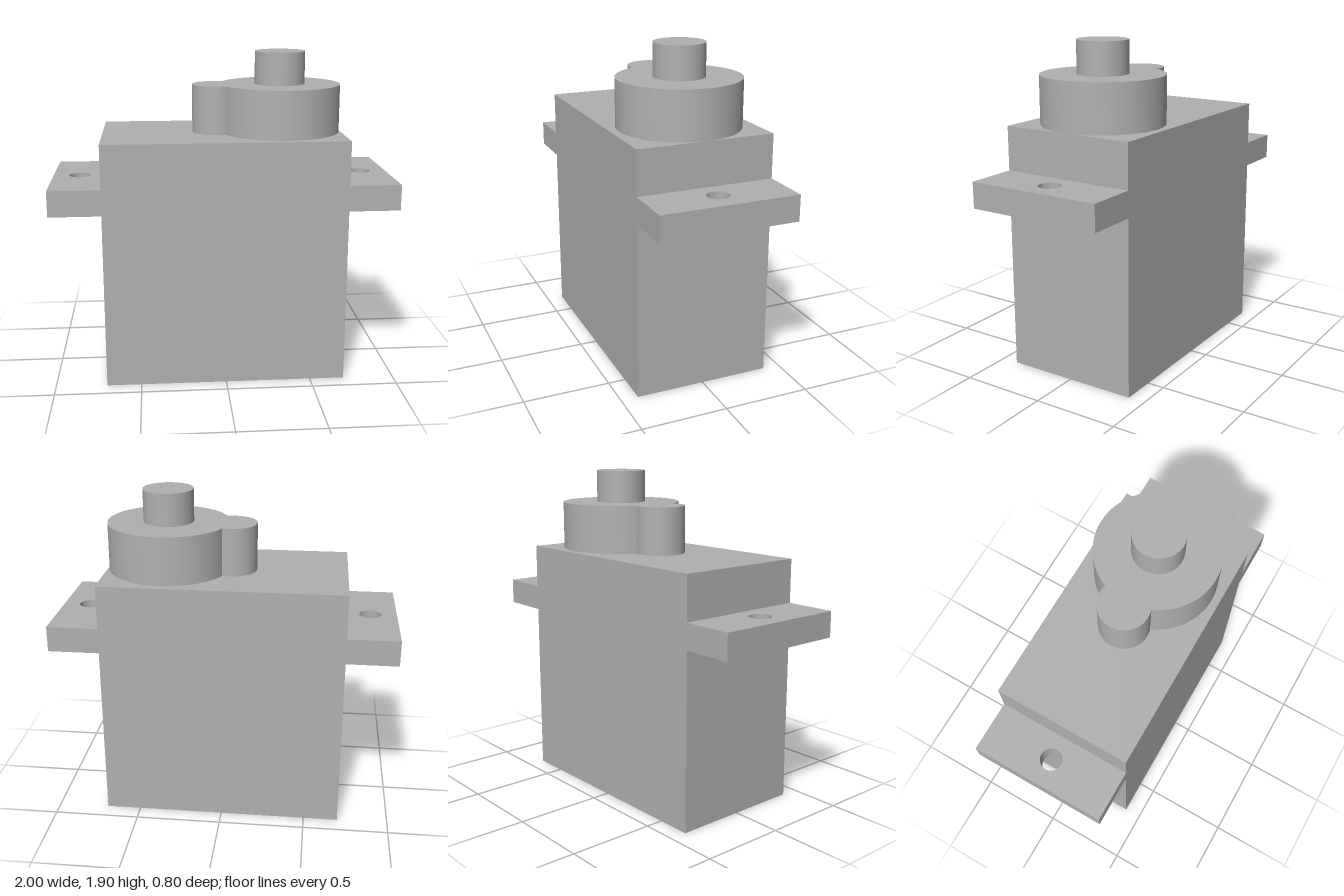
import * as THREE from 'three';
import { toCreasedNormals } from 'three/addons/utils/BufferGeometryUtils.js';

const casing = new THREE.MeshStandardMaterial({ name: 'casing grey', color: 0xb0b0b0 });

const BODY_TOP = 1.435, GEAR_TOP = 1.715, SHAFT_TOP = 1.905;
const HALF_W = 0.702, HALF_D = 0.4;
const GEAR_X = 0.345, GEAR_R = 0.355, LOBE_X = -0.025, LOBE_R = 0.147;

function part(name, geometry) {
  const mesh = new THREE.Mesh(geometry, casing);
  mesh.name = name;
  return mesh;
}

// Extrudes a plan outline (x, -z) upward from y0 to y1
function slab(shape, y0, y1) {
  const g = new THREE.ExtrudeGeometry(shape, { depth: y1 - y0, bevelEnabled: false, curveSegments: 40 });
  g.rotateX(-Math.PI / 2).translate(0, y0, 0);
  return toCreasedNormals(g, 0.6);
}

// Mounting tab with a screw hole, on the given side
function mountingTab(side) {
  const a = Math.min(side * HALF_W, side), b = Math.max(side * HALF_W, side);
  const shape = new THREE.Shape();
  shape.moveTo(a, -HALF_D).lineTo(b, -HALF_D).lineTo(b, HALF_D).lineTo(a, HALF_D).closePath();
  shape.holes.push(new THREE.Path().absarc(side * 0.843, 0, 0.063, 0, Math.PI * 2, true));
  return slab(shape, 1.03, 1.18);
}

// Outline of the large round housing merged with its small lobe
function gearOutline() {
  const d = GEAR_X - LOBE_X;
  const a = (d * d + GEAR_R ** 2 - LOBE_R ** 2) / (2 * d);
  const h = Math.sqrt(GEAR_R ** 2 - a * a);
  const big = Math.atan2(h, -a), small = Math.atan2(h, d - a);
  const shape = new THREE.Shape();
  shape.absarc(GEAR_X, 0, GEAR_R, big, -big, true);
  shape.absarc(LOBE_X, 0, LOBE_R, -small, small, true);
  return shape;
}

export function createModel() {
  const model = new THREE.Group();
  model.name = 'servoMotor';

  // Main case
  const body = part('body', new THREE.BoxGeometry(HALF_W * 2, BODY_TOP, HALF_D * 2));
  body.position.y = BODY_TOP / 2;
  model.add(body);

  // Mounting tabs
  model.add(part('leftMountingTab', mountingTab(1)), part('rightMountingTab', mountingTab(-1)));

  // Gear housing and output shaft
  model.add(part('gearHousing', slab(gearOutline(), BODY_TOP, GEAR_TOP)));
  const shaft = part('outputShaft', new THREE.CylinderGeometry(0.147, 0.147, SHAFT_TOP - GEAR_TOP, 48));
  shaft.position.set(GEAR_X, (SHAFT_TOP + GEAR_TOP) / 2, 0);
  model.add(shaft);

  return model;
}
